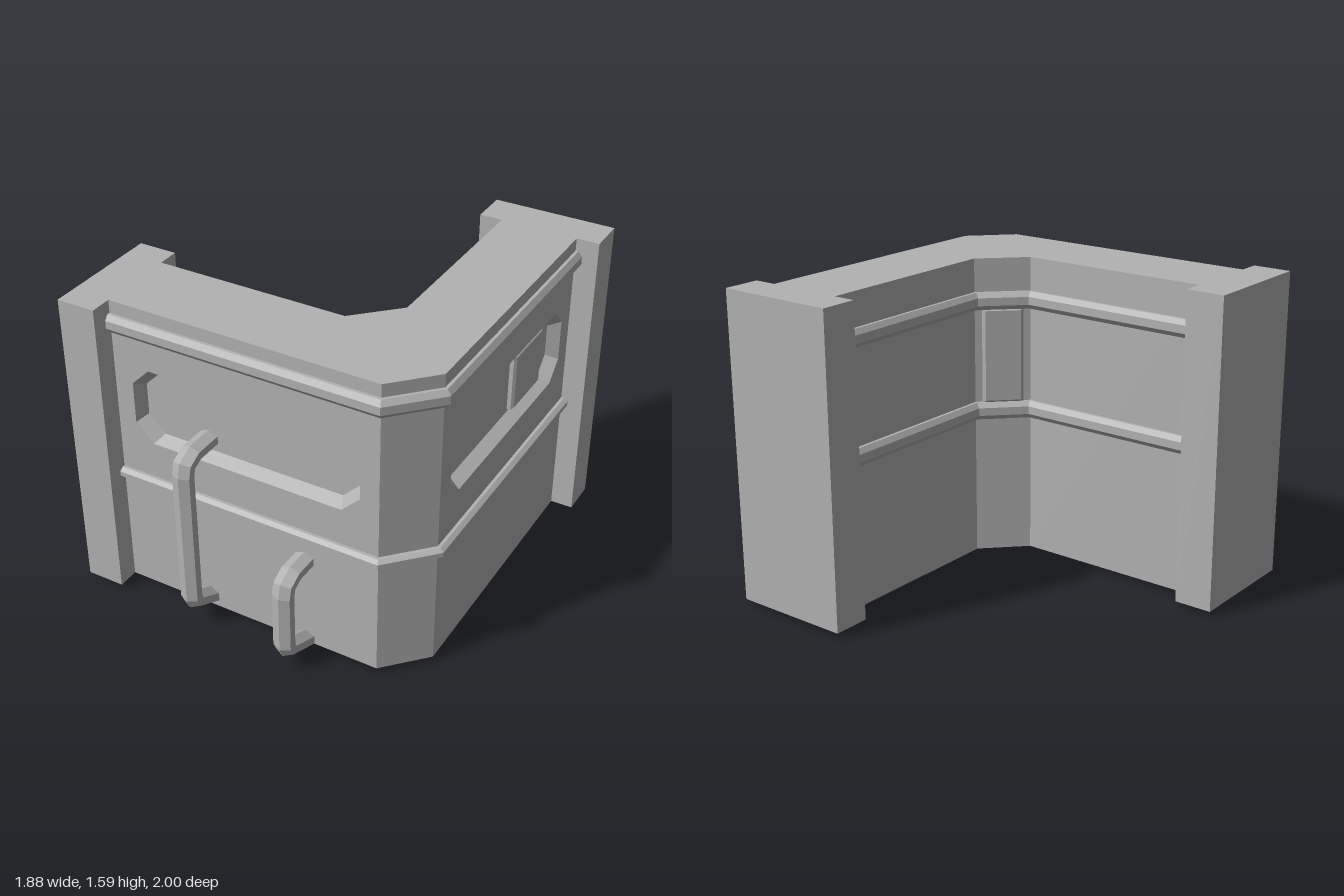
import * as THREE from 'three';

const BOTTOM = 0.03, TOP = 1.59, HEIGHT = TOP - BOTTOM, MID = (TOP + BOTTOM) / 2;

// Plan lines as [x, z]; each is ordered so its visible side is on the rail side
const OUTER = [[-0.745, 0.77], [0.63, 0.77], [0.82, 0.57], [0.82, -0.81]];
const INNER = [[0.43, -0.81], [0.43, 0.17], [0.23, 0.37], [-0.745, 0.37]];

export function createModel() {
  const model = new THREE.Group();
  const grey = new THREE.MeshStandardMaterial({ color: 0xb2b2b2, flatShading: true });
  grey.name = 'grey metal';

  const add = (name, geometry, x = 0, y = 0, z = 0, turn = 0, parent = model) => {
    const mesh = new THREE.Mesh(geometry, grey);
    mesh.name = name;
    mesh.position.set(x, y, z);
    mesh.rotation.y = turn;
    parent.add(mesh);
    return mesh;
  };

  // Sweep a [normal, side] profile along a planar path with mitred corners
  const sweep = (path, profile, place) => {
    const pos = [], index = [], n = profile.length;
    const normal = (p, q) => new THREE.Vector2(p[1] - q[1], q[0] - p[0]).normalize();
    path.forEach((p, i) => {
      const a = normal(path[Math.max(i - 1, 0)], path[Math.max(i, 1)]);
      const last = path.length - 1;
      const b = normal(path[Math.min(i, last - 1)], path[Math.min(i + 1, last)]);
      const mitre = a.clone().add(b).divideScalar(1 + a.dot(b));
      for (const [out, side] of profile) {
        pos.push(...place(p[0] + mitre.x * out, p[1] + mitre.y * out, side));
      }
      if (i === last) return;
      for (let j = 0; j < n; j++) {
        const k = (j + 1) % n, r = i * n, s = r + n;
        index.push(r + j, s + k, r + k, r + j, s + j, s + k);
      }
    });
    const g = new THREE.BufferGeometry();
    g.setAttribute('position', new THREE.Float32BufferAttribute(pos, 3));
    g.setIndex(index);
    const flat = g.toNonIndexed();
    flat.computeVertexNormals();
    return flat;
  };

  const polygon = (pts) => new THREE.Shape(pts.map(([x, y]) => new THREE.Vector2(x, y)));
  const octagon = (w, h, c) => [
    [-w + c, -h], [w - c, -h], [w, -h + c], [w, h - c],
    [w - c, h], [-w + c, h], [-w, h - c], [-w, -h + c]];

  // Plain upright wall face between two plan points
  const wallFace = (name, p, q) => {
    const dx = q[0] - p[0], dz = q[1] - p[1];
    add(name, new THREE.PlaneGeometry(Math.hypot(dx, dz), HEIGHT),
      (p[0] + q[0]) / 2, MID, (p[1] + q[1]) / 2, Math.atan2(-dz, dx));
  };

  // Wall face with a bevelled eight-sided recess
  const recessedWall = (name, width, x, z, turn) => {
    const group = new THREE.Group();
    group.name = name;
    group.position.set(x, 0, z);
    group.rotation.y = turn;
    model.add(group);
    const cy = 1.077, depth = 0.06;
    const rim = octagon(0.592, 0.198, 0.092), floor = octagon(0.56, 0.167, 0.085);
    const face = polygon([[-width / 2, BOTTOM - cy], [width / 2, BOTTOM - cy],
      [width / 2, TOP - cy], [-width / 2, TOP - cy]]);
    face.holes.push(polygon(rim));
    add('wallFace', new THREE.ShapeGeometry(face), 0, cy, 0, 0, group);
    add('recessFloor', new THREE.ShapeGeometry(polygon(floor)), 0, cy, -depth, 0, group);
    const pos = [];
    rim.forEach((a, i) => {
      const j = (i + 1) % 8, b = rim[j], c = floor[j], d = floor[i];
      pos.push(...a, 0, ...b, 0, ...c, -depth, ...a, 0, ...c, -depth, ...d, -depth);
    });
    const bevel = new THREE.BufferGeometry();
    bevel.setAttribute('position', new THREE.Float32BufferAttribute(pos, 3));
    bevel.computeVertexNormals();
    add('recessBevel', bevel, 0, cy, 0, 0, group);
    return group;
  };

  // Raised plate with a bevelled rim, its back on z = 0
  const plate = (w, h, depth, bevel) => {
    const a = w / 2 - bevel, b = h / 2 - bevel;
    const g = new THREE.ExtrudeGeometry(polygon([[-a, -b], [a, -b], [a, b], [-a, b]]), {
      depth, bevelEnabled: true, bevelSegments: 1, bevelSize: bevel, bevelThickness: bevel });
    return g;
  };

  // Wall body: caps, plain faces and the two recessed faces
  const plan = [...OUTER, ...INNER];
  add('wallTop', new THREE.ShapeGeometry(polygon(plan.map(([x, z]) => [x, -z])))
    .rotateX(-Math.PI / 2), 0, TOP);
  add('wallBottom', new THREE.ShapeGeometry(polygon(plan)).rotateX(Math.PI / 2), 0, BOTTOM);
  wallFace('outerCorner', OUTER[1], OUTER[2]);
  for (let i = 0; i < 3; i++) wallFace('innerWall', INNER[i], INNER[i + 1]);
  recessedWall('frontWall', 1.375, -0.0575, 0.77, 0);
  const side = recessedWall('sideWall', 1.38, 0.82, -0.12, Math.PI / 2);

  // Raised plates in the side recess and on the inner corner
  add('sidePlate', plate(0.305, 0.3, 0.02, 0.012), 0.278, 1.075, -0.06, 0, side);
  add('cornerPlate', plate(0.21, 0.5, 0.006, 0.015), 0.33, 1.09, 0.27, -Math.PI * 0.75);

  // End pillars
  add('frontPillar', new THREE.BoxGeometry(0.195, HEIGHT, 0.62), -0.8425, MID, 0.57);
  add('sidePillar', new THREE.BoxGeometry(0.62, HEIGHT, 0.19), 0.625, MID, -0.905);

  // Rails running round the outside and the inside
  const rail = (name, path, y, h) => {
    const profile = [[-0.01, -h], [0.015, -h], [0.035, -h * 0.45],
      [0.035, h * 0.45], [0.015, h], [-0.01, h]];
    add(name, sweep(path, profile, (x, z, up) => [x, y + up, z]));
  };
  rail('outerUpperRail', OUTER, 1.48, 0.045);
  rail('outerLowerRail', OUTER, 0.663, 0.027);
  rail('innerUpperRail', INNER, 1.375, 0.045);
  rail('innerLowerRail', INNER, 0.8, 0.045);

  // Six-sided bent handles, paths as [z, y]
  const hexagon = [[0.042, 0], [0.02, 0.047], [-0.02, 0.047],
    [-0.042, 0], [-0.02, -0.047], [0.02, -0.047]];
  const handle = (name, x, out, top, low) => {
    const path = [[0.7, top], [out - 0.073, top], [out - 0.013, top - 0.03],
      [out, top - 0.08], [out, low + 0.115], [out - 0.013, low + 0.085],
      [0.75, low], [0.7, low]];
    add(name, sweep(path, hexagon, (z, y, across) => [x + across, y, z]));
  };
  handle('tallHandle', -0.285, 0.924, 0.975, 0.078);
  handle('shortHandle', 0.25, 0.958, 0.525, 0.044);

  return model;
}
